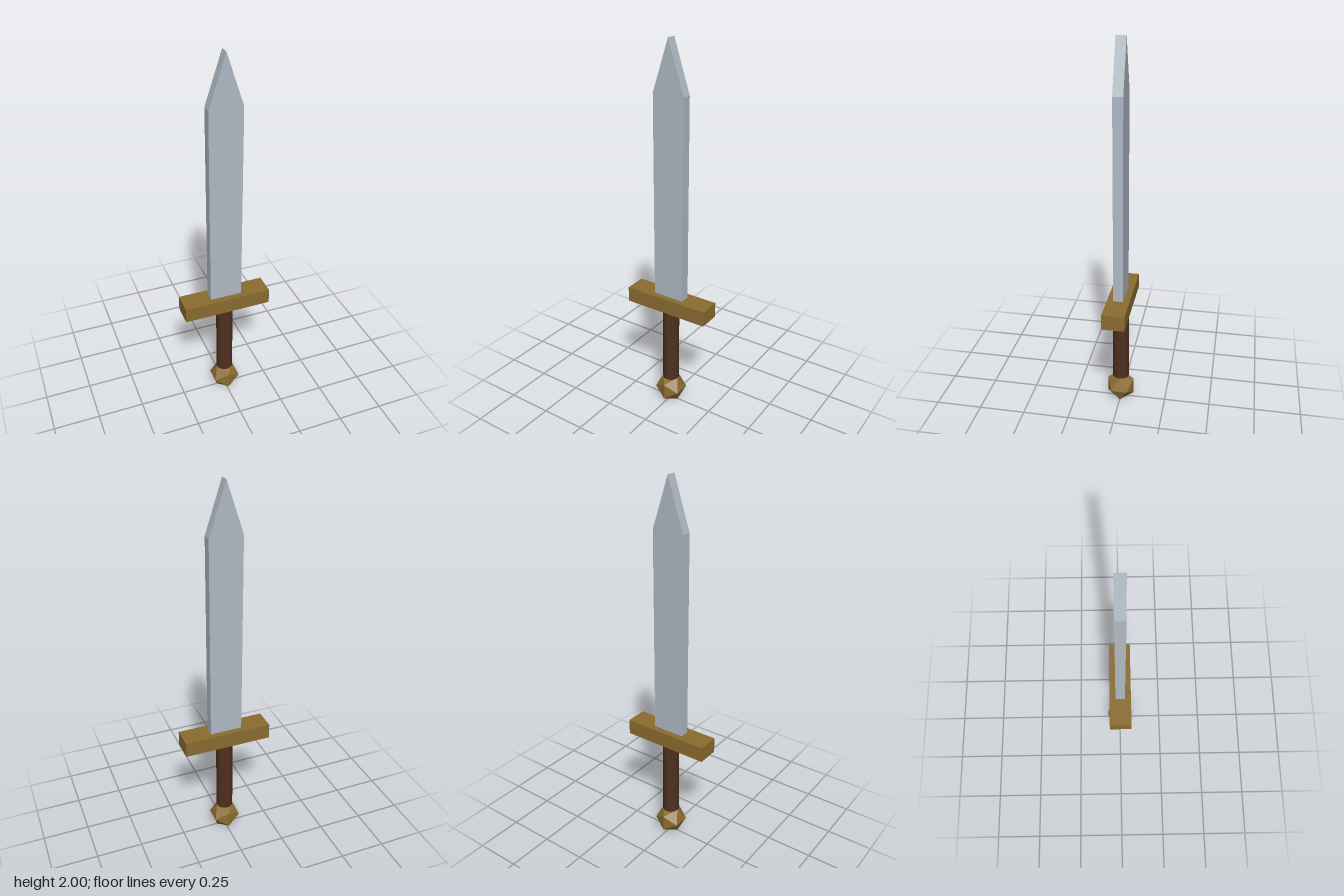
import * as THREE from 'three';

export function createModel() {
  const group = new THREE.Group();
  const steel = new THREE.MeshStandardMaterial({ color: 0xb0bac4, flatShading: true });
  const brass = new THREE.MeshStandardMaterial({ color: 0x8b6c30, flatShading: true });
  const leather = new THREE.MeshStandardMaterial({ color: 0x50301f });

  const add = (name, geometry, material, y) => {
    const mesh = new THREE.Mesh(geometry, material);
    mesh.name = name;
    mesh.position.y = y;
    group.add(mesh);
  };

  const pommelRadius = 0.085, pommelHalf = 0.0723; // half height is 0.851 of the radius
  const gripBottom = pommelHalf * 2 - 0.002, guardBottom = 0.577, guardTop = 0.66;
  const shoulder = 1.737, bladeHalf = 0.087, bladeDepth = 0.052;

  // Faceted pommel standing on one edge
  add('pommel', new THREE.IcosahedronGeometry(pommelRadius, 0), brass, pommelHalf);

  // Round grip between pommel and guard
  const gripLength = guardBottom - gripBottom;
  add('grip', new THREE.CylinderGeometry(0.045, 0.045, gripLength, 16), leather, gripBottom + gripLength / 2);

  // Straight crossguard
  add('crossguard', new THREE.BoxGeometry(0.476, guardTop - guardBottom, 0.119), brass, (guardBottom + guardTop) / 2);

  // Flat blade with a triangular point
  const outline = new THREE.Shape([
    new THREE.Vector2(-bladeHalf, guardTop),
    new THREE.Vector2(bladeHalf, guardTop),
    new THREE.Vector2(bladeHalf, shoulder),
    new THREE.Vector2(0, 2),
    new THREE.Vector2(-bladeHalf, shoulder),
  ]);
  const blade = new THREE.ExtrudeGeometry(outline, { depth: bladeDepth, bevelEnabled: false });
  blade.translate(0, 0, -bladeDepth / 2);
  add('blade', blade, steel, 0);

  return group;
}
